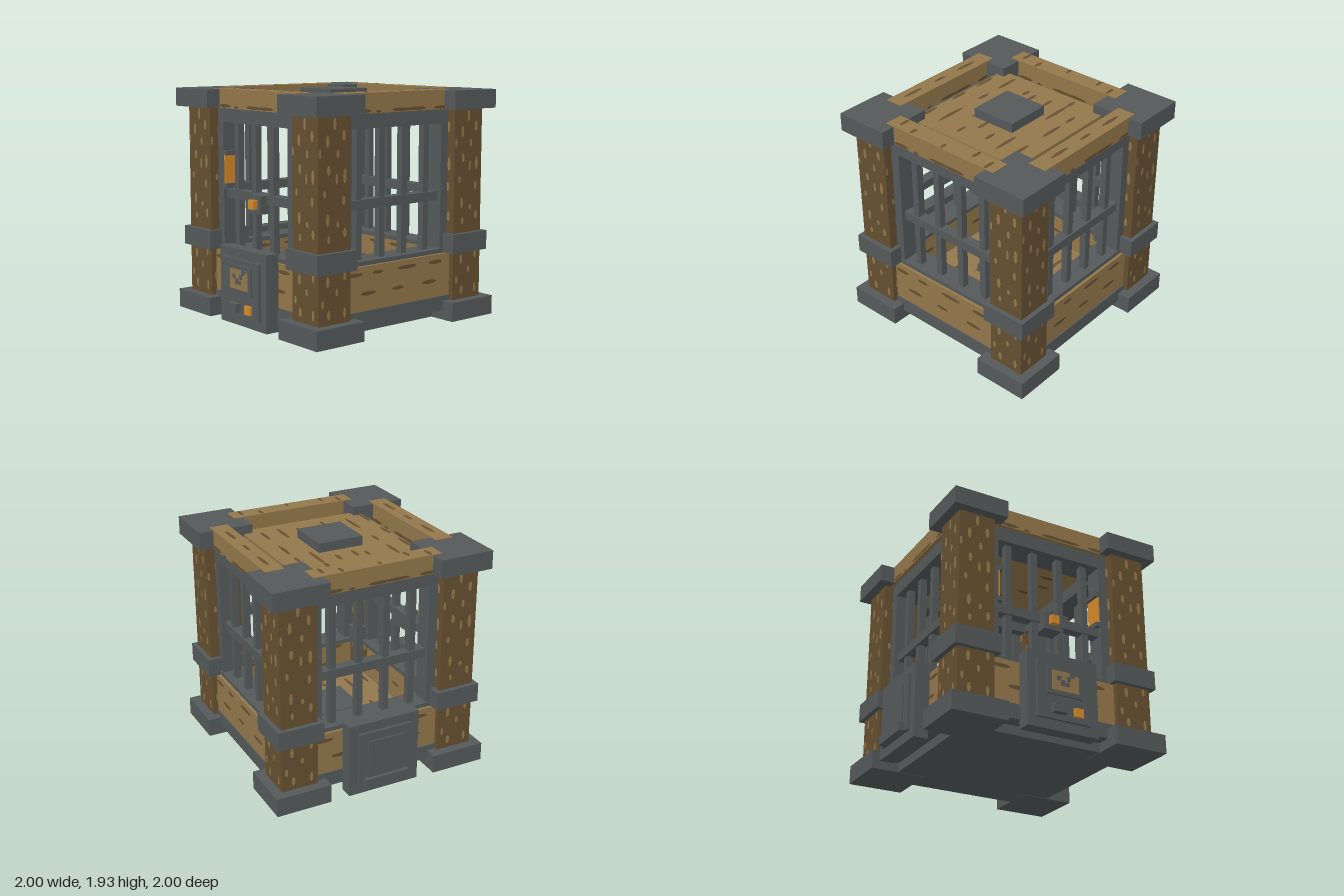
import * as THREE from 'three';
import { mergeGeometries } from 'three/addons/utils/BufferGeometryUtils.js';

export function createModel() {
  const mat = (name, color) => {
    const m = new THREE.MeshStandardMaterial({ color });
    m.name = name;
    return m;
  };
  const iron = mat('iron', 0x55595a);
  const lightWood = mat('light wood', 0x93774b);
  const darkWood = mat('dark wood', 0x655031);
  const orange = mat('orange', 0xd4892a);

  const model = new THREE.Group();
  model.name = 'cage';
  const group = (name, parent, rotY = 0) => {
    const g = new THREE.Group();
    g.name = name;
    g.rotation.y = rotY;
    parent.add(g);
    return g;
  };
  // Box given by its lower and upper limits on each axis
  const box = (parent, name, material, x0, x1, y0, y1, z0, z1) => {
    const m = new THREE.Mesh(new THREE.BoxGeometry(x1 - x0, y1 - y0, z1 - z0), material);
    m.position.set((x0 + x1) / 2, (y0 + y1) / 2, (z0 + z1) / 2);
    m.name = name;
    parent.add(m);
    return m;
  };
  // Thin grain marks [x, y, width, height] lying in the xy plane
  const grain = (parent, name, material, marks, x, y, z, rx = 0, ry = 0) => {
    const m = new THREE.Mesh(mergeGeometries(marks.map(([u, v, w, h]) =>
      new THREE.CircleGeometry(0.5, 8).scale(w, h, 1).translate(u, v, 0))), material);
    m.position.set(x, y, z);
    m.rotation.set(rx, ry, 0);
    m.name = name;
    parent.add(m);
  };

  // Everything is laid out around the cage's own axis
  const cage = group('cageBody', model);
  cage.position.set(0.035, 0, -0.035);

  const postMarks = [
    [0, 1.71, 0.03, 0.1], [-0.07, 1.58, 0.035, 0.1], [0.09, 1.62, 0.035, 0.09], [0.03, 1.48, 0.03, 0.07],
    [-0.145, 1.49, 0.025, 0.08], [-0.06, 1.36, 0.035, 0.08], [0.1, 1.31, 0.035, 0.12], [0.02, 1.29, 0.025, 0.09],
    [-0.1, 1.18, 0.03, 0.06], [0.09, 1.12, 0.03, 0.08], [-0.07, 0.98, 0.035, 0.1], [0.03, 0.94, 0.03, 0.05],
    [0.1, 0.87, 0.035, 0.08], [-0.06, 0.83, 0.03, 0.06], [-0.07, 0.5, 0.035, 0.09], [0.1, 0.53, 0.03, 0.07],
    [0.02, 0.41, 0.03, 0.06], [-0.12, 0.33, 0.03, 0.07], [-0.06, 0.24, 0.035, 0.08], [0.1, 0.24, 0.03, 0.09],
  ];
  const panelMarks = [
    [-0.48, 0.505, 0.16, 0.035], [-0.24, 0.505, 0.12, 0.03], [0.08, 0.505, 0.22, 0.035], [0.4, 0.505, 0.16, 0.035],
    [-0.34, 0.345, 0.17, 0.035], [-0.02, 0.345, 0.13, 0.03], [0.33, 0.345, 0.17, 0.035],
  ];
  const beamMarks = [[-0.4, 1.79, 0.17, 0.032], [-0.24, 1.784, 0.06, 0.022],
    [0, 1.79, 0.2, 0.03], [0.16, 1.79, 0.24, 0.03], [0.44, 1.79, 0.16, 0.03]];

  for (let i = 0; i < 4; i++) {
    const turn = i * Math.PI / 2;

    // Corner post with iron foot, band and cap
    const corner = group('cornerPost', cage, turn);
    const collar = (name, r, y0, y1) =>
      box(corner, name, iron, 0.725 - r, 0.725 + r, y0, y1, 0.725 - r, 0.725 + r);
    box(corner, 'post', darkWood, 0.565, 0.885, 0.1, 1.8, 0.565, 0.885);
    collar('foot', 0.24, 0, 0.16);
    collar('band', 0.2, 0.565, 0.727);
    collar('cap', 0.24, 1.77, 1.926);
    for (let k = 0; k < 4; k++) {
      const a = k * Math.PI / 2;
      grain(corner, 'postGrain', lightWood, postMarks,
        0.725 + 0.163 * Math.sin(a), 0, 0.725 + 0.163 * Math.cos(a), 0, a);
    }

    // One barred wall
    const wall = group('wall', cage, turn);
    box(wall, 'baseRail', iron, -0.57, 0.57, 0.08, 0.205, 0.6, 0.85);
    box(wall, 'lowerPanel', lightWood, -0.57, 0.57, 0.205, 0.565, 0.68, 0.84);
    box(wall, 'sill', iron, -0.565, 0.565, 0.565, 0.6, 0.6, 0.815);
    box(wall, 'topRail', iron, -0.565, 0.565, 1.65, 1.77, 0.565, 0.805);
    box(wall, 'middleRail', iron, -0.485, 0.485, 1.008, 1.085, 0.68, 0.77);
    for (const s of [-1, 1])
      box(wall, 'stile', iron, s * 0.525 - 0.04, s * 0.525 + 0.04, 0.6, 1.65, 0.645, 0.805);
    for (let b = 0; b < 4; b++) {
      const x = (b - 1.5) * 0.243;
      box(wall, 'bar', iron, x - 0.029, x + 0.029, 0.6, 1.65, 0.696, 0.754);
    }
    box(wall, 'topBeam', lightWood, -0.565, 0.565, 1.77, 1.932, 0.68, 0.84);
    grain(wall, 'panelGrain', darkWood, panelMarks, 0, 0, 0.843);
    grain(wall, 'panelGrainInside', darkWood, panelMarks, 0, 0, 0.677, 0, Math.PI);
    grain(wall, 'beamGrain', darkWood, beamMarks, 0, 0, 0.843);
    grain(wall, 'beamGrainInside', darkWood, beamMarks, 0, 0, 0.677, 0, Math.PI);
    // Top marks run along x on every beam
    const topMarks = i % 2 === 0
      ? [[-0.3, 0, 0.22, 0.035], [0.02, 0, 0.14, 0.03], [0.34, 0, 0.22, 0.035]]
      : [[-0.46, 0.02, 0.035, 0.11], [-0.31, -0.03, 0.035, 0.09], [0.02, -0.04, 0.03, 0.07], [0.3, 0.03, 0.035, 0.1], [0.47, -0.02, 0.035, 0.12]];
    grain(wall, 'beamTopGrain', darkWood, topMarks, 0, 1.934, 0.76, -Math.PI / 2);
  }

  // Base, floor and roof with their centre blocks
  box(cage, 'base', iron, -0.725, 0.725, 0.002, 0.2, -0.725, 0.725);
  box(cage, 'floor', lightWood, -0.6, 0.6, 0.2, 0.28, -0.6, 0.6);
  box(cage, 'floorBlock', iron, -0.2, 0.2, 0.28, 0.36, -0.2, 0.2);
  box(cage, 'roof', lightWood, -0.565, 0.565, 1.765, 1.85, -0.565, 0.565);
  box(cage, 'roofBlock', iron, -0.2, 0.2, 1.85, 1.93, -0.2, 0.2);
  const roofMarks = [
    [-0.26, 0.425, 0.12], [-0.02, 0.425, 0.24], [0.36, 0.425, 0.2], [-0.47, 0.265, 0.11], [-0.28, 0.265, 0.3],
    [0.35, 0.265, 0.26], [-0.36, 0.105, 0.12], [0.36, 0.105, 0.12], [-0.34, -0.055, 0.14], [0.26, -0.055, 0.14],
    [-0.38, -0.145, 0.1], [0.04, -0.215, 0.38], [0.42, -0.145, 0.1], [-0.4, -0.375, 0.24], [-0.1, -0.375, 0.13],
    [0.3, -0.375, 0.3], [-0.3, -0.54, 0.22], [0.02, -0.54, 0.18], [0.38, -0.54, 0.2],
  ].map(([x, y, w]) => [x, y, w, 0.035]);
  grain(cage, 'roofGrain', darkWood, roofMarks, 0, 1.853, 0, -Math.PI / 2);
  grain(cage, 'ceilingGrain', darkWood, roofMarks, 0, 1.762, 0, Math.PI / 2);
  grain(cage, 'floorGrain', darkWood, roofMarks, 0, 0.283, 0, -Math.PI / 2);

  // Front latch and the two side grips
  box(cage, 'latch', iron, -0.08, 0.08, 0.93, 1.082, 0.69, 0.835);
  box(cage, 'latchButton', orange, -0.035, 0.035, 0.97, 1.045, 0.835, 0.88);
  for (const s of [-1, 1]) {
    const grip = group('grip', cage);
    const part = (name, m, d, y0, y1, z0, z1) =>
      box(grip, name, m, s > 0 ? 0.49 - d : -0.49, s > 0 ? 0.49 : -0.49 + d, y0, y1, z0, z1);
    part('gripPlate', orange, 0.02, 1.13, 1.37, 0.65, 0.8);
    part('gripLowerBracket', iron, 0.045, 1.09, 1.13, 0.64, 0.808);
    part('gripUpperBracket', iron, 0.045, 1.37, 1.41, 0.64, 0.808);
  }

  // Front control panel
  const front = group('controlPanel', cage);
  box(front, 'panelBody', iron, -0.32, 0.32, 0.005, 0.645, 0.84, 0.96);
  box(front, 'panelPlate', iron, -0.243, 0.243, 0.085, 0.565, 0.96, 0.985);
  box(front, 'screenFrame', iron, -0.163, 0.163, 0.285, 0.52, 0.985, 1.0);
  box(front, 'screen', lightWood, -0.122, 0.122, 0.32, 0.486, 1.0, 1.004);
  for (const [x, y, w, h] of [[-0.06, 0.425, 0.04, 0.04], [-0.025, 0.398, 0.035, 0.03], [-0.005, 0.38, 0.08, 0.032],
    [0.03, 0.428, 0.035, 0.04], [0.06, 0.467, 0.045, 0.038], [0.1, 0.478, 0.045, 0.016]])
    box(front, 'screenMark', iron, x - w / 2, x + w / 2, y - h / 2, y + h / 2, 1.004, 1.007);
  box(front, 'knob', iron, -0.122, -0.003, 0.13, 0.202, 0.985, 1.035);
  box(front, 'button', orange, 0.078, 0.157, 0.13, 0.202, 0.985, 1.01);

  // Plain panel with a ledge on the right-hand side
  const side = group('sidePanel', cage, -Math.PI / 2);
  box(side, 'panelBody', iron, -0.32, 0.32, 0.005, 0.645, 0.84, 0.965);
  box(side, 'panelPlate', iron, -0.243, 0.243, 0.085, 0.565, 0.965, 0.99);
  box(side, 'panelInset', iron, -0.165, 0.165, 0.16, 0.49, 0.99, 1.003);
  box(side, 'ledge', iron, -0.2, 0.2, 0.085, 0.16, 0.99, 1.035);

  return model;
}
